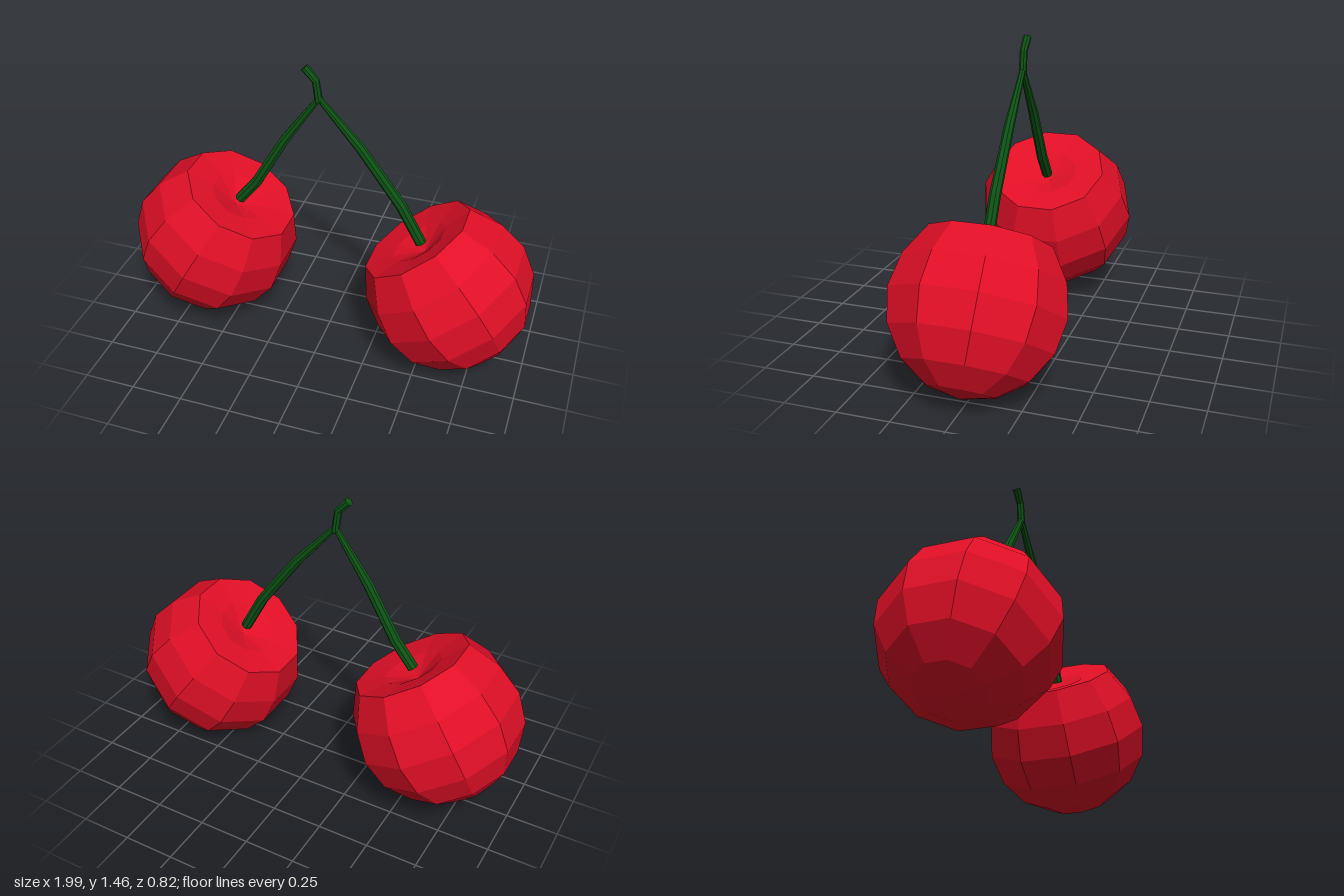
import * as THREE from 'three';

const red = new THREE.MeshStandardMaterial({ color: 0xe00f26, flatShading: true });
red.name = 'cherry red';
const green = new THREE.MeshStandardMaterial({ color: 0x0d5214, flatShading: true });
green.name = 'stem green';

// Ten-sided fruit with a shallow dimple at the top, tilted about z
function cherry(name, x, y, tilt) {
  const R = 0.408;
  const pts = [];
  for (let i = 0; i <= 6; i++) {
    const a = (i * Math.PI) / 8;
    pts.push(new THREE.Vector2(R * Math.sin(a), -0.4 * Math.cos(a)));
  }
  pts[6].y = 0.302;
  pts.push(new THREE.Vector2(0.145, 0.282), new THREE.Vector2(0, 0.225));
  const mesh = new THREE.Mesh(new THREE.LatheGeometry(pts, 10), red);
  mesh.name = name;
  mesh.position.set(x, y, 0);
  mesh.rotation.z = tilt;
  return mesh;
}

// Tapered eight-sided stalk along a path of [x, y, radius] in the z plane, capped at both ends
function stalk(name, path) {
  const N = 8, pos = [], idx = [];
  const p = path.map(([x, y]) => new THREE.Vector2(x, y));
  path.forEach(([x, y, r], i) => {
    const t = p[Math.min(i + 1, p.length - 1)].clone().sub(p[Math.max(i - 1, 0)]).normalize();
    for (let k = 0; k < N; k++) {
      const a = ((k + 0.5) / N) * Math.PI * 2;
      pos.push(x - t.y * Math.cos(a) * r, y + t.x * Math.cos(a) * r, 0.008 + Math.sin(a) * r);
    }
  });
  for (let i = 0; i < path.length - 1; i++) {
    for (let k = 0; k < N; k++) {
      const a = i * N + k, b = i * N + ((k + 1) % N);
      idx.push(a, b, b + N, a, b + N, a + N);
    }
  }
  const last = (path.length - 1) * N;
  for (let k = 1; k < N - 1; k++) {
    idx.push(0, k + 1, k, last, last + k, last + k + 1);
  }
  const g = new THREE.BufferGeometry();
  g.setAttribute('position', new THREE.Float32BufferAttribute(pos, 3));
  g.setIndex(idx);
  g.computeVertexNormals();
  const mesh = new THREE.Mesh(g, green);
  mesh.name = name;
  return mesh;
}

export function createModel() {
  const group = new THREE.Group();
  group.name = 'cherryPair';

  // Fruit
  group.add(cherry('rightCherry', -0.608, 0.452, THREE.MathUtils.degToRad(-29.5)));
  group.add(cherry('leftCherry', 0.606, 0.397, THREE.MathUtils.degToRad(35)));

  // Two stalks joined under a short bent tip
  group.add(stalk('rightStem', [
    [-0.465, 0.69, 0.027], [-0.37, 0.81, 0.027], [-0.22, 1.07, 0.024], [-0.05, 1.315, 0.014],
  ]));
  group.add(stalk('leftStem', [
    [0.455, 0.63, 0.027], [0.35, 0.82, 0.027], [0.15, 1.09, 0.024], [-0.05, 1.315, 0.014],
  ]));
  group.add(stalk('stemTip', [
    [-0.05, 1.295, 0.019], [-0.064, 1.4, 0.018], [-0.117, 1.458, 0.02],
  ]));
  return group;
}
